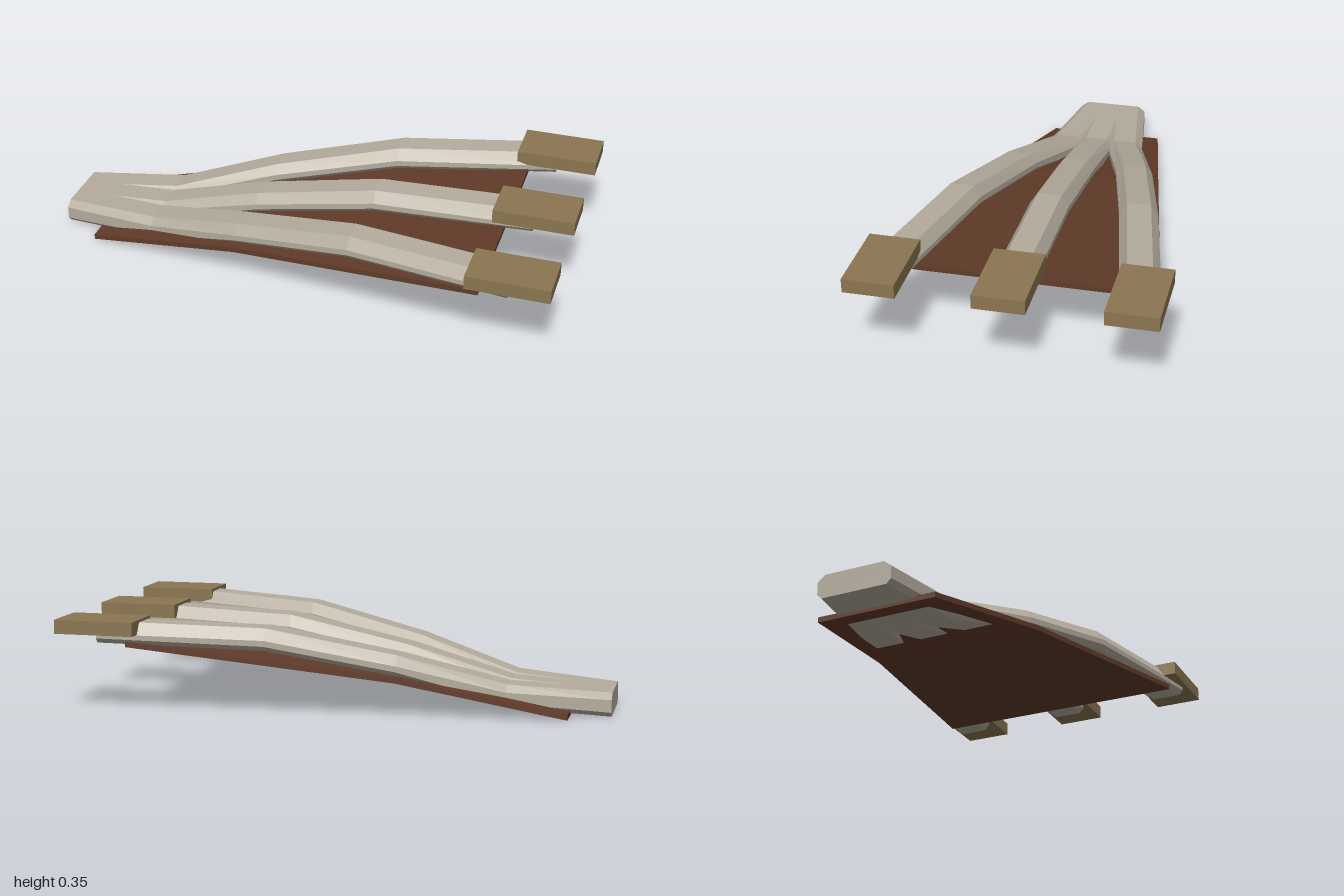
import * as THREE from 'three';

const bone = new THREE.MeshStandardMaterial({ color: 0xb5ad9e });
bone.name = 'bone grey';
const hide = new THREE.MeshStandardMaterial({ color: 0x613b29 });
hide.name = 'dark brown';
const tan = new THREE.MeshStandardMaterial({ color: 0x8b7651 });
tan.name = 'tan';

const Z0 = -0.003; // shared centre line

// Joins equal rings of [x, y, z] points (running along +x) into a closed, hard-edged solid.
function loft(rings) {
  const pos = [];
  const tri = (a, b, c) => pos.push(...a, ...b, ...c);
  const n = rings[0].length;
  for (let i = 0; i < rings.length - 1; i++) {
    for (let j = 0; j < n; j++) {
      const k = (j + 1) % n;
      const a = rings[i][j], b = rings[i][k], c = rings[i + 1][k], d = rings[i + 1][j];
      tri(a, b, c);
      tri(a, c, d);
    }
  }
  const first = rings[0], last = rings[rings.length - 1];
  for (let j = 1; j < n - 1; j++) {
    tri(first[0], first[j + 1], first[j]);
    tri(last[0], last[j], last[j + 1]);
  }
  const geo = new THREE.BufferGeometry();
  geo.setAttribute('position', new THREE.Float32BufferAttribute(pos, 3));
  geo.computeVertexNormals();
  return geo;
}

// Stations of a toe: x, top, bottom, height of the top bevel, sideways spread
const stations = [
  [-1.0, 0.09, 0.003, 0.022, 0.067],
  [-0.62, 0.114, 0.03, 0.026, 0.122],
  [-0.23, 0.224, 0.148, 0.036, 0.232],
  [0.24, 0.322, 0.24, 0.042, 0.334],
  [0.845, 0.346, 0.266, 0.045, 0.449],
];

// Bevelled eight-sided toe; side is -1, 0 or 1
function toe(side) {
  return loft(stations.map(([x, top, bottom, bevel, spread]) => {
    const z = Z0 + side * spread;
    return [
      [0.045, top], [-0.045, top],
      [-0.073, top - bevel], [-0.073, bottom + 0.018],
      [-0.056, bottom], [0.056, bottom],
      [0.073, bottom + 0.018], [0.073, top - bevel],
    ].map(([dz, y]) => [x, y, z + dz]).reverse();
  }));
}

function add(group, name, geometry, material) {
  const mesh = new THREE.Mesh(geometry, material);
  mesh.name = name;
  group.add(mesh);
  return mesh;
}

export function createModel() {
  const group = new THREE.Group();
  group.name = 'webbedFoot';

  // Three toes fused at the ankle, each with a blunt claw block
  [['leftToe', 1], ['middleToe', 0], ['rightToe', -1]].forEach(([name, side]) => {
    const part = new THREE.Group();
    part.name = name;
    add(part, 'toe', toe(side), bone);
    const claw = add(part, 'claw', new THREE.BoxGeometry(0.303, 0.052, 0.185), tan);
    claw.position.set(0.8485, 0.324, Z0 + side * 0.449);
    group.add(part);
  });

  // Thin web stretched between the toes, bent once along its length
  const web = [[-0.85, 0.002, 0.225], [-0.23, 0.13, 0.33], [0.74, 0.252, 0.5]];
  add(group, 'web', loft(web.map(([x, y, w]) => [
    [x, y, Z0 + w], [x, y, Z0 - w], [x, y + 0.02, Z0 - w], [x, y + 0.02, Z0 + w],
  ])), hide);

  return group;
}
